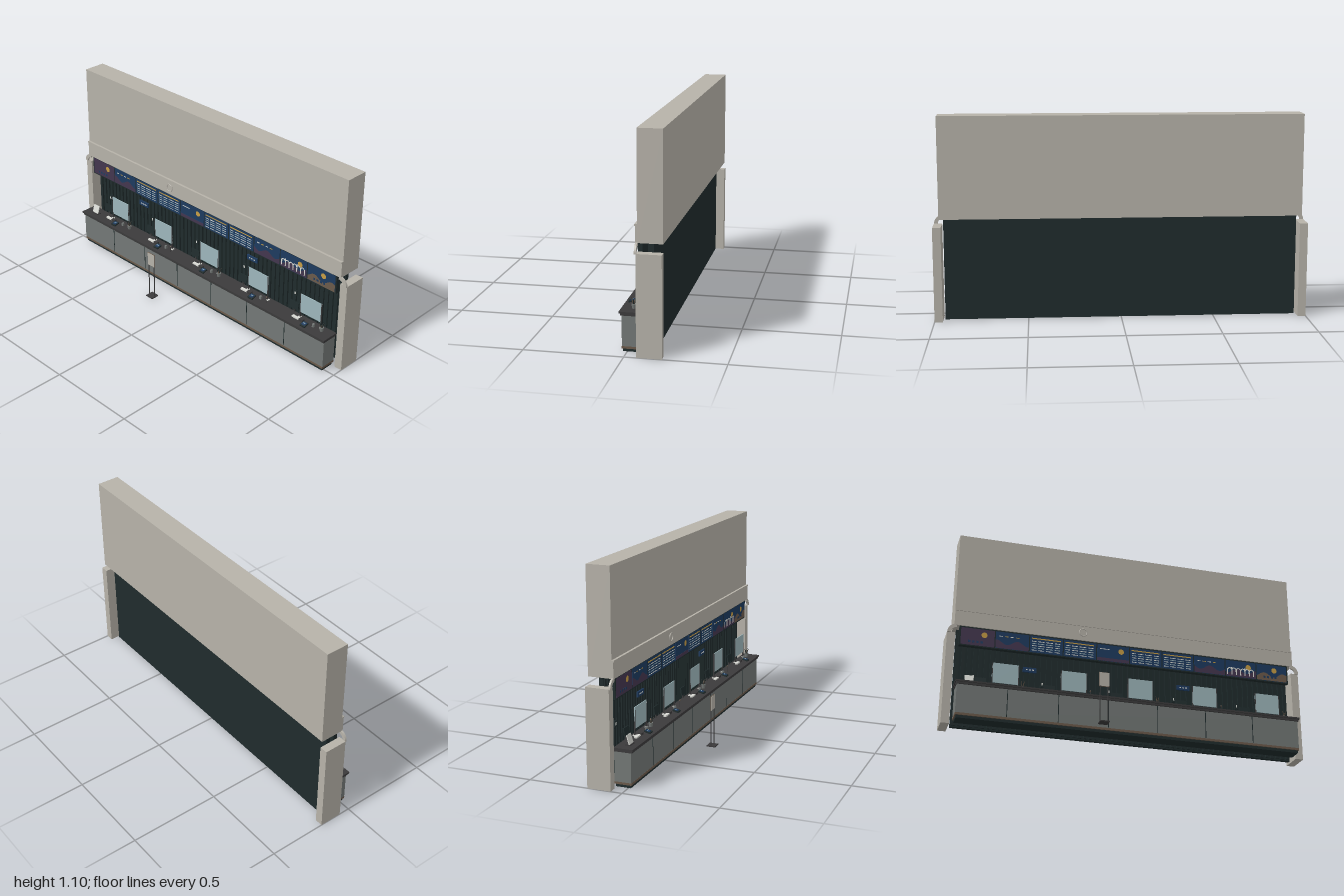
import * as THREE from 'three';

const mat = (name, color, side = THREE.FrontSide) => {
  const m = new THREE.MeshStandardMaterial({ color, side });
  m.name = name;
  return m;
};

export function createModel() {
  const root = new THREE.Group();
  root.name = 'ticketCounter';
  const stone = mat('stone', 0xb6b2a9), wallDark = mat('darkTeal', 0x1f2b2c);
  const panel = mat('counterGrey', 0x737876), top = mat('charcoal', 0x3b3a3b);
  const navy = mat('navy', 0x1d3a5f), purple = mat('purple', 0x43364f, THREE.DoubleSide);
  const gold = mat('gold', 0xc79d45), white = mat('offWhite', 0xd9dad4);
  const glass = mat('paleGlass', 0x9db6bb), brown = mat('bronze', 0x6b5a4b);

  const add = (parent, name, geo, m, x = 0, y = 0, z = 0) => {
    const mesh = new THREE.Mesh(geo, m);
    mesh.name = name;
    mesh.position.set(x, y, z);
    parent.add(mesh);
    return mesh;
  };
  // Box given by its limits on each axis
  const box = (parent, name, m, x0, x1, y0, y1, z0, z1) =>
    add(parent, name, new THREE.BoxGeometry(x1 - x0, y1 - y0, z1 - z0), m,
      (x0 + x1) / 2, (y0 + y1) / 2, (z0 + z1) / 2);
  const group = (name, x = 0, y = 0, z = 0) => {
    const g = new THREE.Group();
    g.name = name;
    g.position.set(x, y, z);
    root.add(g);
    return g;
  };

  // Upper wall, projecting lip and ring ornament
  box(root, 'upperWall', stone, -0.965, 0.965, 0.555, 1.1, -0.185, -0.06);
  box(root, 'wallLip', stone, -0.965, 0.965, 0.553, 0.637, -0.06, -0.051);
  box(root, 'lipMoulding', stone, -0.965, 0.965, 0.637, 0.646, -0.06, -0.047);
  add(root, 'ringOrnament', new THREE.TorusGeometry(0.021, 0.003, 8, 28), stone, -0.265, 0.598, -0.047);

  // Side pillars with a quarter-round trim at the top
  for (const s of [-1, 1]) {
    box(root, 'pillar', stone, s * 0.978 - 0.022, s * 0.978 + 0.022, 0, 0.512, -0.185, -0.06);
    const arc = new THREE.Shape();
    arc.absarc(0, 0, 0.05, 0, Math.PI / 2, false);
    arc.absarc(0, 0, 0.03, Math.PI / 2, 0, true);
    const trim = add(root, 'cornerTrim',
      new THREE.ExtrudeGeometry(arc, { depth: 0.01, bevelEnabled: false, curveSegments: 10 }),
      stone, s * 0.95, 0.51, s > 0 ? -0.062 : -0.052);
    if (s < 0) trim.rotation.y = Math.PI;
  }

  // Back wall with vertical slats
  box(root, 'backWall', wallDark, -0.945, 0.945, 0.003, 0.556, -0.137, -0.117);
  for (let i = 0; i < 62; i++) {
    const x = -0.93 + i * 0.0305;
    box(root, 'wallSlat', wallDark, x - 0.009, x + 0.009, 0.01, 0.55, -0.117, -0.108);
  }

  // Counter
  box(root, 'plinth', wallDark, -0.935, 0.935, 0.005, 0.02, -0.062, 0.018);
  box(root, 'kickTrim', brown, -0.941, 0.941, 0.02, 0.032, -0.07, 0.0235);
  box(root, 'counterBody', panel, -0.941, 0.941, 0.032, 0.19, -0.066, 0.0225);
  box(root, 'counterEdge', top, -0.945, 0.945, 0.187, 0.198, -0.066, 0.03);
  box(root, 'counterTop', top, -0.95, 0.95, 0.198, 0.207, -0.066, 0.036);
  for (let i = 0; i < 6; i++) {
    const x = -0.677 + i * 0.27;
    box(root, 'panelSeam', wallDark, x - 0.002, x + 0.002, 0.034, 0.186, 0.0215, 0.0235);
  }

  // Row of ten display screens under the lip
  box(root, 'displayHousing', wallDark, -0.935, 0.935, 0.443, 0.553, -0.08, -0.057);
  const W = 0.186, kinds = 'hills,dusk,board,board,sun,board,board,dusk,city,hills'.split(',');
  const disc = (g, m, x, y, r, z) => add(g, 'sun', new THREE.CircleGeometry(r, 20), m, x, y, z);
  kinds.forEach((kind, i) => {
    const g = group('displayScreen', -0.93 + (i + 0.5) * W, 0.498, -0.056);
    const h = W / 2 - 0.003;
    box(g, 'screen', kind === 'hills' && i === 0 ? purple : navy, -h, h, -0.049, 0.048, -0.002, 0);
    if (kind === 'board') {
      box(g, 'heading', gold, -h + 0.008, h - 0.012, 0.03, 0.036, 0, 0.001);
      for (let r = 0; r < 5; r++) {
        const y = 0.016 - r * 0.013;
        [[-0.08, -0.055], [-0.046, -0.012], [-0.003, 0.035], [0.046, 0.075]].forEach(([a, b]) =>
          box(g, 'timetableRow', r % 2 ? glass : white, a, b, y - 0.002, y + 0.002, 0, 0.001));
      }
      return;
    }
    // Rolling hills along the bottom of the picture
    const land = new THREE.Shape();
    land.moveTo(-h, -0.048);
    for (let k = 0; k <= 16; k++)
      land.lineTo(-h + (2 * h * k) / 16, -0.013 + 0.013 * Math.sin(k * 0.62 + i * 1.3));
    land.lineTo(h, -0.048);
    const landMat = kind === 'sun' ? glass : i === 9 ? brown : purple;
    if (kind !== 'sun') add(g, 'hills', new THREE.ShapeGeometry(land), landMat, 0, 0, 0.0008);
    if (kind !== 'dusk') disc(g, gold, kind === 'hills' ? (i ? 0.015 : 0.035) : 0.045, 0.015, 0.016, 0.0014);
    if (kind === 'sun') {
      box(g, 'horizon', purple, -h, h, -0.048, -0.03, 0, 0.001);
      box(g, 'caption', white, -0.075, -0.02, 0.02, 0.024, 0, 0.001);
    }
    if (kind === 'dusk') for (let k = 0; k < 4; k++)
      box(g, 'cloud', k % 2 ? gold : white, -0.07 + k * 0.03, -0.052 + k * 0.03, 0.02, 0.024, 0, 0.0012);
    if (kind === 'hills') for (let k = 0; k < 4; k++)
      box(g, 'shrub', navy, -0.05 + k * 0.022, -0.038 + k * 0.022, -0.034, -0.022, 0, 0.0015);
    if (kind === 'city') {
      // Row of arches with towers
      for (let k = 0; k < 7; k++) {
        const x = -0.08 + k * 0.026, t = k % 3 === 1 ? 0.012 : 0;
        box(g, 'column', white, x - 0.003, x + 0.003, -0.038, -0.004 + t, 0, 0.002);
        if (k < 6) add(g, 'arch', new THREE.RingGeometry(0.009, 0.015, 12, 1, 0, Math.PI), white,
          x + 0.013, -0.01, 0.002);
      }
    }
  });

  // Five service stations
  for (let i = 0; i < 5; i++) {
    const g = group('station', -0.682 + i * 0.369, 0.207, 0);
    // Glass guard on two posts
    box(g, 'glassGuard', glass, -0.072, 0.072, 0.036, 0.148, -0.043, -0.039);
    for (const s of [-1, 1]) {
      box(g, 'guardPost', top, s * 0.07 - 0.002, s * 0.07 + 0.002, 0, 0.148, -0.045, -0.0385);
      box(g, 'guardFoot', white, s * 0.072 - 0.007, s * 0.072 + 0.007, 0, 0.005, -0.05, -0.034);
    }
    // Tilted card reader
    const reader = add(g, 'cardReader', new THREE.BoxGeometry(0.034, 0.007, 0.034), wallDark, -0.005, 0.008, 0.003);
    reader.rotation.x = 0.25;
    add(reader, 'readerScreen', new THREE.BoxGeometry(0.024, 0.002, 0.022), navy, 0, 0.004, -0.002);
    add(reader, 'readerStripe', new THREE.BoxGeometry(0.016, 0.002, 0.004), glass, 0, 0.0048, -0.004);
    // Clerk's monitor, keyboard and papers
    const mon = add(g, 'clerkMonitor', new THREE.BoxGeometry(0.06, 0.042, 0.006), wallDark, -0.128, 0.042, -0.06);
    mon.rotation.x = -0.15;
    box(g, 'monitorStand', top, -0.132, -0.124, 0, 0.03, -0.066, -0.06);
    box(g, 'keyboard', white, -0.105, -0.06, 0, 0.008, -0.03, -0.014);
    box(g, 'ticketTray', top, -0.056, -0.03, 0, 0.012, -0.03, -0.012);
    box(g, 'cup', panel, 0.03, 0.042, 0, 0.018, -0.03, -0.018);
    // Small wall light
    box(g, 'wallSwitch', wallDark, -0.168, -0.15, 0.066, 0.1, -0.108, -0.102);
    box(g, 'switchPlate', white, -0.163, -0.156, 0.076, 0.09, -0.102, -0.1);
    // Potted plant on every second station, a microphone on the others
    if (i % 2 === 0) {
      add(g, 'plantPot', new THREE.CylinderGeometry(0.012, 0.009, 0.022, 12), panel, 0.09, 0.011, -0.025);
      for (let k = 0; k < 7; k++) {
        const a = k * 2.4;
        const leaf = add(g, 'leaf', new THREE.ConeGeometry(0.004, 0.036, 5), k % 2 ? brown : wallDark,
          0.09 + 0.008 * Math.cos(a), 0.037, -0.025 + 0.008 * Math.sin(a));
        leaf.rotation.set(0.4 * Math.sin(a), 0, -0.4 * Math.cos(a));
      }
    } else {
      add(g, 'microphoneStem', new THREE.CylinderGeometry(0.0015, 0.0015, 0.035, 6), top, 0.085, 0.018, -0.015);
      add(g, 'microphoneHead', new THREE.SphereGeometry(0.004, 10, 8), brown, 0.085, 0.037, -0.015);
    }
  }

  // Leaflet holder at the right end
  const leaflet = box(root, 'leafletHolder', white, -0.898, -0.852, 0.21, 0.258, -0.015, -0.01);
  leaflet.rotation.x = -0.3;
  box(root, 'leafletBase', top, -0.9, -0.85, 0.207, 0.212, -0.026, 0.002);

  // Small hanging wall signs
  for (const x of [-0.542, 0.322]) {
    box(root, 'wallSign', navy, x - 0.037, x + 0.037, 0.35, 0.378, -0.108, -0.1);
    for (let k = 0; k < 3; k++)
      box(root, 'signMark', white, x - 0.022 + k * 0.017, x - 0.012 + k * 0.017, 0.361, 0.367, -0.1, -0.099);
  }

  // Free-standing notice on two thin poles
  box(root, 'noticeBase', top, -0.225, -0.175, 0.002, 0.008, 0.137, 0.185);
  for (const x of [-0.221, -0.179]) box(root, 'noticePole', top, x - 0.002, x + 0.002, 0.008, 0.205, 0.159, 0.163);
  box(root, 'noticeBack', brown, -0.228, -0.172, 0.203, 0.283, 0.159, 0.162);
  box(root, 'noticeFace', stone, -0.226, -0.174, 0.205, 0.281, 0.162, 0.164);

  return root;
}
